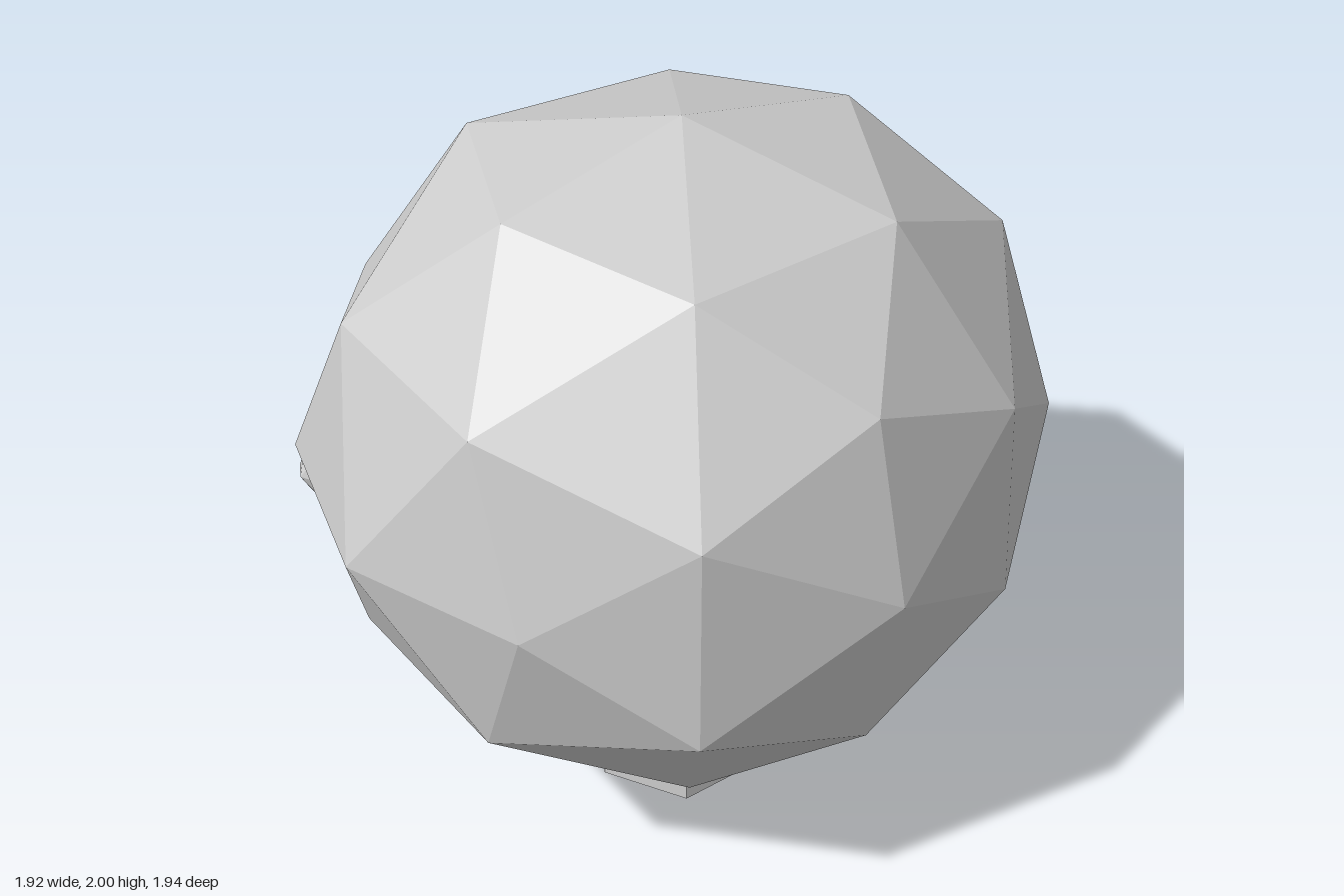
import * as THREE from 'three';

const CENTER = [0.022, 1.1, 0.082];

// Uneven crown radii; each row is indexed by the signs of x (1), y (2) and z (4)
const R = 0.925;
const RADII = {
  xAxis: [0.89, 0.936],
  yAxis: [0.9, R, 0.9],
  zAxis: [0.89, R, R, R, 0.916],
  xZero: [0.895, R, R, R, 0.902, R, 0.93],
  yZero: [0.927, 0.9, R, R, R, 0.943],
  xMost: [0.935, 0.943, 0.887, R, 0.928, 0.93, 0.92, R],
  yMost: [0.9, 0.893, 0.9, 0.93, 0.9, 0.942, R, R],
  zMost: [0.89, 0.903, 0.915, 0.935, 0.91, 0.905, 0.928, 0.9],
};
RADII.yAxis[2] = 0.9;

function crownRadius(d) {
  const a = [Math.abs(d.x), Math.abs(d.y), Math.abs(d.z)];
  const big = 'xyz'[a.indexOf(Math.max(...a))];
  const small = 'xyz'[a.indexOf(Math.min(...a))];
  const kind = Math.max(...a) > 0.99 ? big + 'Axis'
    : Math.min(...a) < 0.01 ? small + 'Zero' : big + 'Most';
  const index = (d.x < -0.01 ? 1 : 0) + (d.y < -0.01 ? 2 : 0) + (d.z < -0.01 ? 4 : 0);
  return RADII[kind]?.[index] ?? R;
}

export function createModel() {
  const group = new THREE.Group();
  const gray = new THREE.MeshStandardMaterial({
    color: 0xcccccc, flatShading: true, side: THREE.DoubleSide,
  });
  gray.name = 'light gray';

  const add = (name, geometry, x, y, z) => {
    geometry.computeVertexNormals();
    const mesh = new THREE.Mesh(geometry, gray);
    mesh.name = name;
    mesh.position.set(x, y, z);
    group.add(mesh);
  };

  // Faceted crown, slightly wider across x
  const crown = new THREE.IcosahedronGeometry(1, 1);
  const p = crown.attributes.position;
  const v = new THREE.Vector3();
  for (let i = 0; i < p.count; i++) {
    v.fromBufferAttribute(p, i).normalize();
    v.multiplyScalar(crownRadius(v));
    p.setXYZ(i, v.x * 1.05, v.y, v.z);
  }
  add('crown', crown, ...CENTER);

  // Open six-sided trunk
  const trunk = new THREE.CylinderGeometry(0.237, 0.248, 0.3, 6, 1, true);
  trunk.rotateY(Math.PI / 6);
  add('trunk', trunk, CENTER[0], 0.15, CENTER[2]);

  // Three small fruits on the back
  const fruit = (name, x, y, z, rx, ry, rz) =>
    add(name, new THREE.IcosahedronGeometry(1, 1).scale(rx, ry, rz), x, y, z);
  fruit('backFruit', CENTER[0], 0.942, -0.847, 0.135, 0.127, 0.122);
  for (const side of [1, -1]) {
    fruit(side > 0 ? 'leftFruit' : 'rightFruit', CENTER[0] + side * 0.562, 0.804, -0.637, 0.168, 0.118, 0.09);
  }
  return group;
}
